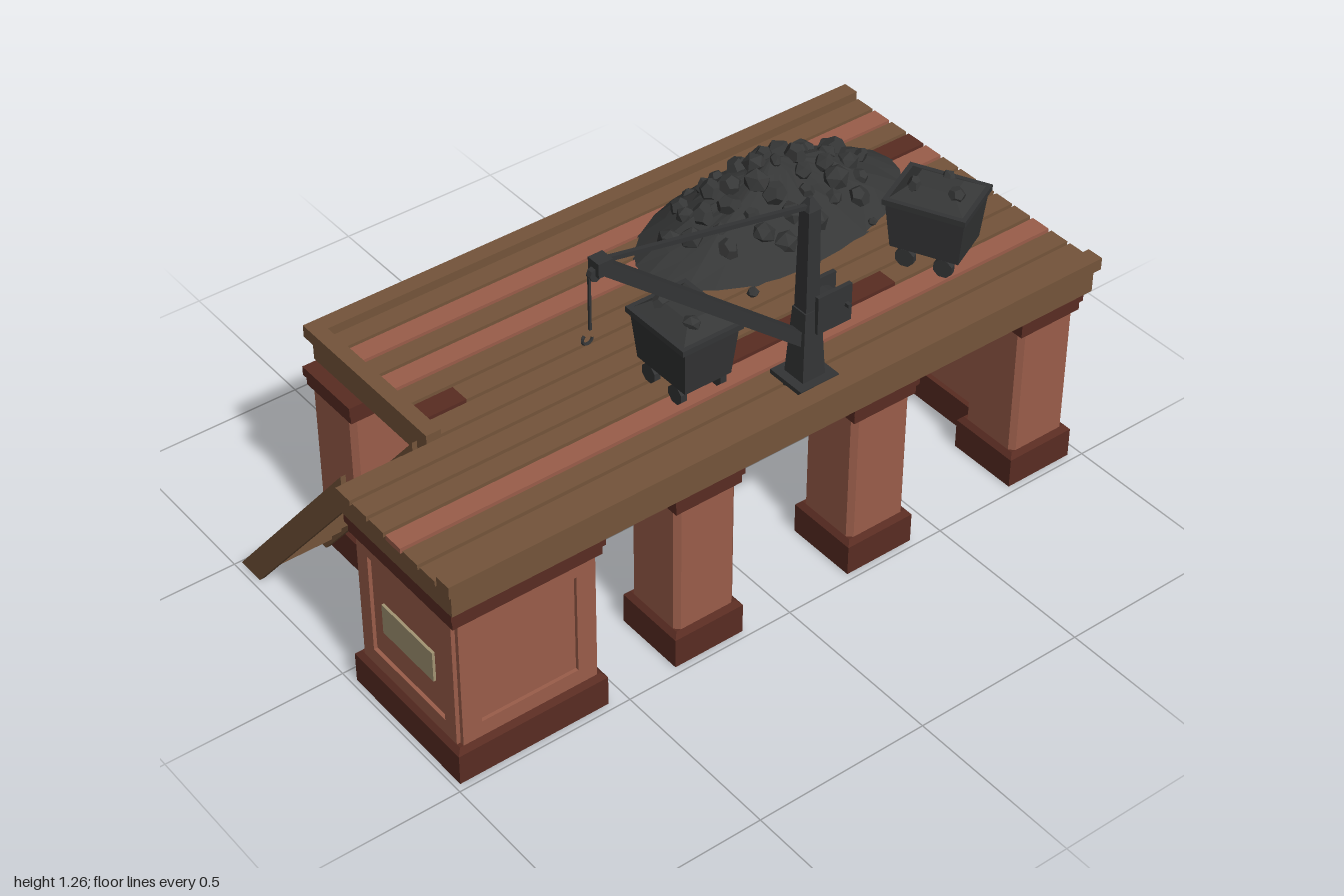
import * as THREE from 'three';

const mat = (name, color) => {
  const m = new THREE.MeshStandardMaterial({ color, flatShading: true });
  m.name = name;
  return m;
};

export function createModel() {
  const brick = mat('brick', 0x9a5d4a), darkBrick = mat('dark brick', 0x592c22);
  const wood = mat('wood', 0x74543a), iron = mat('iron', 0x333435);
  const coal = mat('coal', 0x363737), brass = mat('pale plate', 0xa39573);
  const model = new THREE.Group();
  model.name = 'coalingPlatform';

  let seed = 7;
  const rnd = () => (seed = (seed * 16807) % 2147483647) / 2147483647;

  const add = (parent, name, geo, m, x = 0, y = 0, z = 0) => {
    const mesh = new THREE.Mesh(geo, m);
    mesh.name = name;
    mesh.position.set(x, y, z);
    parent.add(mesh);
    return mesh;
  };
  // box given by its limits
  const box = (p, name, m, x0, x1, y0, y1, z0, z1) =>
    add(p, name, new THREE.BoxGeometry(x1 - x0, y1 - y0, z1 - z0), m, (x0 + x1) / 2, (y0 + y1) / 2, (z0 + z1) / 2);
  // box whose top is scaled, standing on y
  const taper = (p, name, m, w, d, h, sx, sz, x, y, z) => {
    const g = new THREE.BoxGeometry(w, h, d), a = g.attributes.position;
    for (let i = 0; i < a.count; i++) if (a.getY(i) > 0) a.setXYZ(i, a.getX(i) * sx, a.getY(i), a.getZ(i) * sz);
    g.computeVertexNormals();
    return add(p, name, g, m, x, y + h / 2, z);
  };
  const group = (name, x = 0, y = 0, z = 0, parent = model) => {
    const g = new THREE.Group();
    g.name = name;
    g.position.set(x, y, z);
    parent.add(g);
    return g;
  };
  const outline = pts => new THREE.Shape(pts.map(p => new THREE.Vector2(...p)));
  const extrude = (shape, depth) => new THREE.ExtrudeGeometry(shape, { depth, bevelEnabled: false });

  // pier: stepped foot, chamfered shaft, two-tier cap
  const pier = (name, x, z, w, d, inset) => {
    const g = group(name, x, 0, z);
    box(g, 'foot', darkBrick, -w / 2, w / 2, 0, 0.088, -d / 2, d / 2);
    taper(g, 'footBevel', darkBrick, w, d, 0.014, (w - 0.025) / w, (d - 0.025) / d, 0, 0.088, 0);
    const a = w / 2 - 0.013 - inset, b = d / 2 - 0.013 - inset, c = 0.014;
    const s = outline([[-a + c, -b], [a - c, -b], [a, -b + c], [a, b - c], [a - c, b], [-a + c, b], [-a, b - c], [-a, -b + c]]);
    add(g, 'shaft', extrude(s, 0.4).rotateX(-Math.PI / 2), brick, 0, 0.095, 0);
    box(g, 'capLower', darkBrick, -w / 2 + 0.006, w / 2 - 0.006, 0.485, 0.514, -d / 2 + 0.006, d / 2 - 0.006);
    box(g, 'capUpper', darkBrick, -w / 2, w / 2, 0.514, 0.54, -d / 2, d / 2);
    return g;
  };
  for (const z of [0.24, -0.31, -0.862]) for (const s of [-1, 1]) pier('pier', s * 0.375, z, 0.21, 0.21, 0);
  pier('stairPier', -0.375, 0.66, 0.21, 0.21, 0);

  // front pedestal with recessed panels on each side
  const ped = pier('pedestal', 0.26, 0.767, 0.44, 0.435, 0.01);
  for (let i = 0; i < 4; i++) {
    const hw = 0.194, f = outline([[-hw, 0.095], [hw, 0.095], [hw, 0.49], [-hw, 0.49]]);
    const e = i % 2 ? 0.14 : 0.15;
    f.holes.push(new THREE.Path([[-e, 0.148], [-e, 0.445], [e, 0.445], [e, 0.148]].map(p => new THREE.Vector2(...p))));
    const side = group('panelSide', 0, 0, 0, ped);
    side.rotation.y = i * Math.PI / 2;
    add(side, 'panelFrame', extrude(f, 0.012), brick, 0, 0, i % 2 ? 0.195 : 0.1925);
  }
  box(ped, 'namePlate', brass, -0.105, 0.105, 0.235, 0.325, 0.193, 0.202);

  // back wall between the rear piers
  box(model, 'backWall', brick, -0.3, 0.3, 0.05, 0.54, -0.935, -0.83);
  box(model, 'backWallFoot', darkBrick, -0.29, 0.29, 0, 0.09, -0.95, -0.815);

  // deck frame, L-shaped in plan
  const deck = group('deck');
  const plan = outline([[-0.488, -0.725], [0.035, -0.725], [0.035, -0.987], [0.488, -0.987], [0.488, 0.987], [-0.488, 0.987]]);
  add(deck, 'deckFrame', extrude(plan, 0.071).rotateX(-Math.PI / 2), wood, 0, 0.54, 0);
  box(deck, 'leftCurb', wood, -0.5, -0.452, 0.61, 0.645, -1, 0.742);
  box(deck, 'rightCurb', wood, 0.452, 0.5, 0.61, 0.645, -1, 1);
  box(deck, 'frontCurb', wood, -0.452, 0.035, 0.61, 0.645, 0.7, 0.742);

  // planks, some replaced by red or dark boards; each entry lists [end, material]
  const special = {
    1: [[0.7, brick]], 3: [[-0.45, darkBrick], [0.7, brick]], 4: [[-0.45, brick], [0.7, wood]],
    5: [[0.575, wood], [0.7, darkBrick]], 9: [[-0.54, wood], [0.05, darkBrick], [1, wood]], 10: [[1, brick]],
  };
  for (let i = 0; i < 13; i++) {
    const x = -0.45 + i * 0.9 / 13;
    let z = -1;
    for (const [end, m] of special[i] || [[i < 7 ? 0.7 : 1, wood]]) {
      box(deck, 'plank', m, x + 0.005, x + 0.064, 0.61, 0.625, z, end);
      z = end;
    }
  }

  // side stair with two stringers and open treads
  const stair = group('stair');
  const stringer = outline([[-0.495, 0], [-0.41, 0], [0.035, 0.54], [0.035, 0.645]]);
  for (const z of [0.768, 0.967]) add(stair, 'stringer', extrude(stringer, 0.014), wood, 0, 0, z);
  for (let i = 0; i < 9; i++) {
    const x = -0.43 + i * 0.0517, y = 0.06 + i * 0.0628;
    box(stair, 'tread', wood, x, x + 0.053, y - 0.008, y + 0.008, 0.78, 0.968);
  }

  // one faceted lump of coal
  const lump = (p, x, y, z, r) => {
    const m = add(p, 'coalLump', rnd() < 0.5 ? new THREE.DodecahedronGeometry(r) : new THREE.IcosahedronGeometry(r), coal, x, y, z);
    m.scale.set(0.8 + rnd() * 0.4, 0.7 + rnd() * 0.4, 0.8 + rnd() * 0.4);
    m.rotation.set(rnd() * 6, rnd() * 6, rnd() * 6);
  };

  // coal heap: cone bent into an uneven mound
  const heap = group('coalHeap', -0.172, 0.622, -0.47);
  const height = r => 0.19 * Math.pow(Math.max(0, 1 - r), 0.9);
  const cone = new THREE.ConeGeometry(1, 1, 26, 5, true), cp = cone.attributes.position;
  for (let i = 0; i < cp.count; i++) {
    const x = cp.getX(i), z = cp.getZ(i), r = Math.hypot(x, z);
    const bump = 1 + 0.13 * Math.sin(x * 9 + z * 4) * Math.cos(z * 8 - x * 3);
    const k = 1 + 0.03 * Math.sin(Math.atan2(z, x) * 3);
    cp.setXYZ(i, x * 0.23 * k + z * 0.01, height(r) * bump, z * 0.42);
  }
  cone.computeVertexNormals();
  add(heap, 'mound', cone, coal);
  for (let i = 0; i < 44; i++) {
    const r = 0.82 * Math.sqrt((i + 0.3) / 44), t = i * 2.4;
    lump(heap, Math.cos(t) * r * 0.21, height(r) + 0.008, Math.sin(t) * r * 0.4, 0.021 + rnd() * 0.014);
  }
  for (const [x, z] of [[0.015, -0.655], [0.14, -0.36], [0.06, -0.225]]) lump(model, x, 0.633, z, 0.015);

  // coal carts
  const cart = (x, z, turn) => {
    const g = group('coalCart', x, 0.625, z);
    g.rotation.y = turn;
    taper(g, 'hopper', iron, 0.186, 0.14, 0.15, 1.16, 1.18, 0, 0.052, 0);
    box(g, 'rim', iron, -0.112, 0.112, 0.187, 0.203, -0.091, 0.091);
    taper(g, 'load', coal, 0.206, 0.164, 0.034, 0.55, 0.4, 0, 0.2, 0);
    for (const [lx, lz] of [[-0.05, 0.03], [0.06, 0.025], [0.015, -0.035]]) lump(g, lx, 0.228, lz, 0.022);
    for (const sx of [-1, 1]) {
      const axle = add(g, 'axle', new THREE.CylinderGeometry(0.008, 0.008, 0.13, 6), iron, sx * 0.052, 0.027, 0);
      axle.rotation.x = Math.PI / 2;
      for (const sz of [-1, 1]) {
        const w = add(g, 'wheel', new THREE.CylinderGeometry(0.027, 0.027, 0.018, 8), iron, sx * 0.052, 0.026, sz * 0.06);
        w.rotation.set(Math.PI / 2, Math.PI / 8, 0);
      }
    }
  };
  cart(0.225, 0.122, 0);
  cart(0.217, -0.685, 0.45);

  // crane
  const crane = group('crane', 0.385, 0, -0.122);
  box(crane, 'basePlate', iron, -0.058, 0.058, 0.622, 0.638, -0.06, 0.06);
  taper(crane, 'mastFoot', iron, 0.07, 0.07, 0.2, 0.7, 0.7, 0, 0.635, 0);
  taper(crane, 'mast', iron, 0.05, 0.045, 0.49, 0.72, 0.8, 0, 0.635, 0);
  taper(crane, 'mastCap', iron, 0.04, 0.04, 0.03, 0.25, 0.25, 0, 1.125, 0);
  const beam = (name, y0, z0, y1, z1, t) => {
    const m = add(crane, name, new THREE.BoxGeometry(t, t, Math.hypot(y1 - y0, z1 - z0)), iron, 0, (y0 + y1) / 2, (z0 + z1) / 2);
    m.rotation.x = -Math.atan2(y1 - y0, z1 - z0);
  };
  beam('boom', 0.735, 0, 1.235, 0.605, 0.034);
  beam('tieRod', 1.13, 0, 1.248, 0.6, 0.012);
  box(crane, 'boomHead', iron, -0.02, 0.02, 1.218, 1.256, 0.585, 0.625);
  const pulley = add(crane, 'pulley', new THREE.CylinderGeometry(0.018, 0.018, 0.016, 8), iron, 0, 1.22, 0.622);
  pulley.rotation.z = Math.PI / 2;
  box(crane, 'hoistCable', iron, -0.003, 0.003, 1.07, 1.22, 0.634, 0.64);
  const hook = add(crane, 'hook', new THREE.TorusGeometry(0.014, 0.004, 5, 10, 4.2), iron, 0, 1.048, 0.645);
  hook.rotation.set(0, Math.PI / 2, 0);
  hook.rotateZ(2.2);
  // winch behind the mast
  for (const s of [-1, 1]) box(crane, 'winchCheek', iron, s * 0.03 - 0.006, s * 0.03 + 0.006, 0.768, 0.876, -0.11, -0.005);
  const drum = add(crane, 'winchDrum', new THREE.CylinderGeometry(0.03, 0.03, 0.06, 8), iron, 0, 0.822, -0.068);
  drum.rotation.z = Math.PI / 2;
  box(crane, 'crankShaft', iron, -0.062, 0.05, 0.817, 0.827, -0.098, -0.088);
  box(crane, 'crankArm', iron, -0.062, -0.054, 0.78, 0.827, -0.098, -0.088);
  box(crane, 'crankHandle', iron, -0.085, -0.054, 0.776, 0.785, -0.098, -0.088);

  return model;
}
